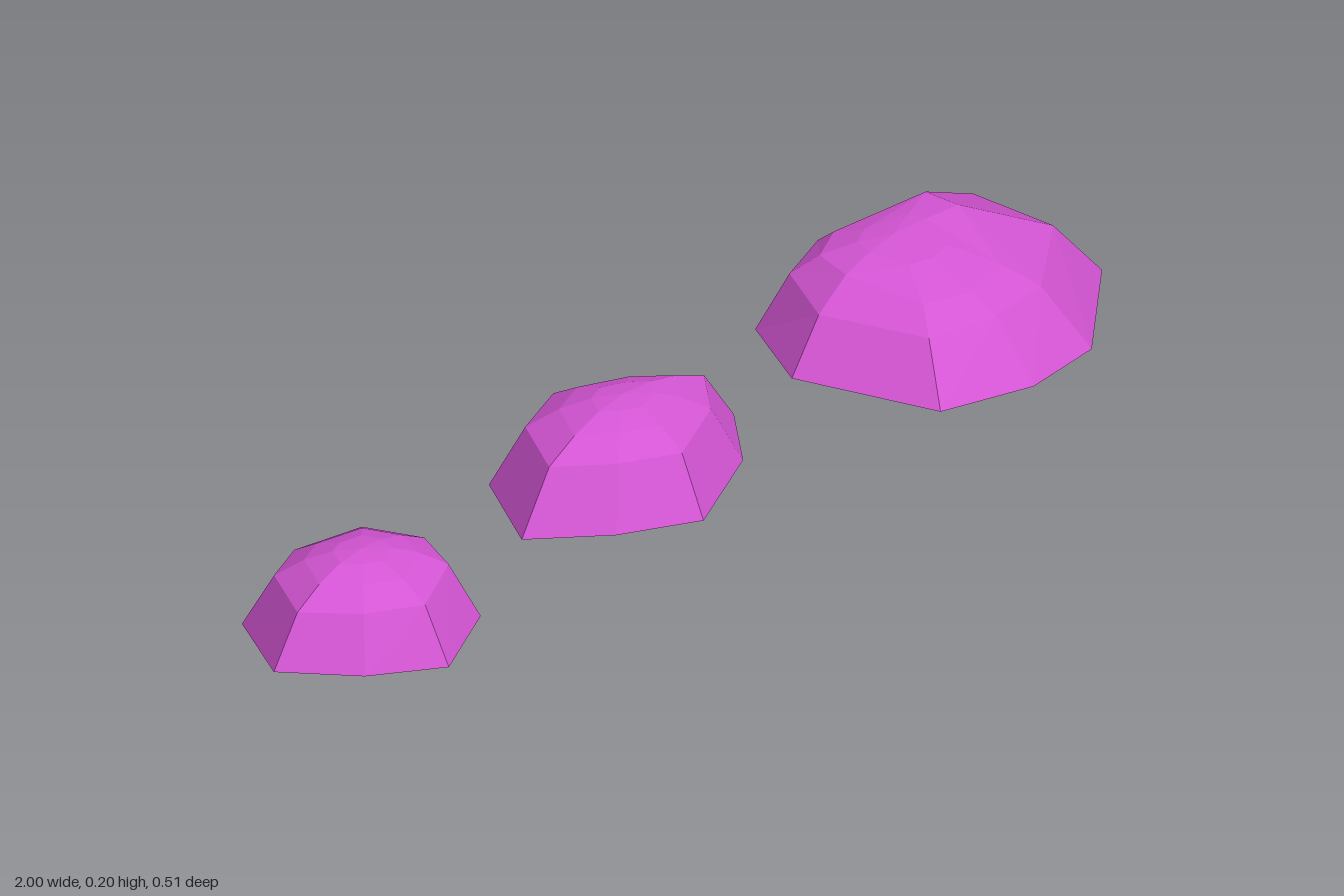
import * as THREE from 'three';

const material = new THREE.MeshStandardMaterial({ color: 0xd455d4, flatShading: true });

// Closed faceted dome: rings of 8 points run clockwise seen from above, bottom to top
function dome(name, rings, apex) {
  const pos = [];
  const tri = (a, b, c) => pos.push(...a, ...b, ...c);
  const n = rings[0].length;
  const base = [0, 1, 2].map(k => rings[0].reduce((s, p) => s + p[k], 0) / n);
  for (let i = 0; i < n; i++) {
    const j = (i + 1) % n;
    tri(base, rings[0][i], rings[0][j]);
    for (let r = 0; r < rings.length - 1; r++) {
      const lo = rings[r], hi = rings[r + 1];
      tri(lo[i], hi[i], lo[j]);
      tri(lo[j], hi[i], hi[j]);
    }
    const top = rings[rings.length - 1];
    tri(top[i], apex, top[j]);
  }
  const geo = new THREE.BufferGeometry();
  geo.setAttribute('position', new THREE.Float32BufferAttribute(pos, 3));
  geo.computeVertexNormals();
  const mesh = new THREE.Mesh(geo, material);
  mesh.name = name;
  return mesh;
}

// Ring made by shrinking an outline towards the apex
const shrink = (outline, apex, s, y) =>
  outline.map(([x, z]) => [apex[0] + (x - apex[0]) * s, y, apex[2] + (z - apex[2]) * s]);

// Outline laid on a base plane that tilts along x
const ground = (outline, y0, slope, x0) =>
  outline.map(([x, z]) => [x, Math.max(0, y0 + slope * (x - x0)), z]);

function regularStone(name, outline, apex, y0, slope) {
  return dome(name, [
    ground(outline, y0, slope, outline[6][0]),
    shrink(outline, apex, 0.73, 0.147),
    shrink(outline, apex, 0.48, 0.177),
    shrink(outline, apex, 0.24, 0.194),
  ], apex);
}

export function createModel() {
  const group = new THREE.Group();
  group.name = 'stones';

  // Two regular stones
  group.add(regularStone('smallStone', [
    [-0.78, -0.25], [-0.6, -0.2], [-0.55, -0.06], [-0.61, 0.06],
    [-0.79, 0.14], [-0.91, 0.06], [-1, -0.06], [-0.9, -0.21],
  ], [-0.78, 0.2, -0.055], 0.06, -0.05));
  group.add(regularStone('middleStone', [
    [-0.1, -0.26], [0.07, -0.17], [0.18, -0.05], [0.07, 0.06],
    [-0.13, 0.14], [-0.26, 0.06], [-0.37, -0.05], [-0.26, -0.21],
  ], [-0.1, 0.2, -0.055], 0.042, 0));

  // Large stone, stretched and tilted towards +x with a raised shoulder
  const outline = [
    [0.58, -0.26], [0.99, -0.18], [1, 0.06], [0.76, 0.235],
    [0.585, 0.255], [0.405, 0.205], [0.33, -0.05], [0.43, -0.21],
  ];
  const apex = [0.6, 0.2, -0.055];
  const lower = [
    [0.58, 0.145, -0.2], [0.91, 0.112, -0.14], [0.91, 0.112, 0.03], [0.72, 0.125, 0.16],
    [0.59, 0.13, 0.172], [0.46, 0.13, 0.135], [0.4, 0.135, -0.05], [0.47, 0.14, -0.17],
  ];
  const upper = [
    [0.58, 0.174, -0.165], [0.75, 0.195, -0.11], [0.75, 0.195, -0.04], [0.69, 0.158, 0.1],
    [0.59, 0.157, 0.12], [0.5, 0.16, 0.09], [0.47, 0.18, -0.05], [0.5, 0.176, -0.13],
  ];
  const crown = upper.map(([x, y, z]) =>
    [(x + apex[0]) / 2, y + (apex[1] - y) * 0.7, (z + apex[2]) / 2]);
  group.add(dome('largeStone', [ground(outline, 0.045, -0.067, 0.33), lower, upper, crown], apex));
  return group;
}
